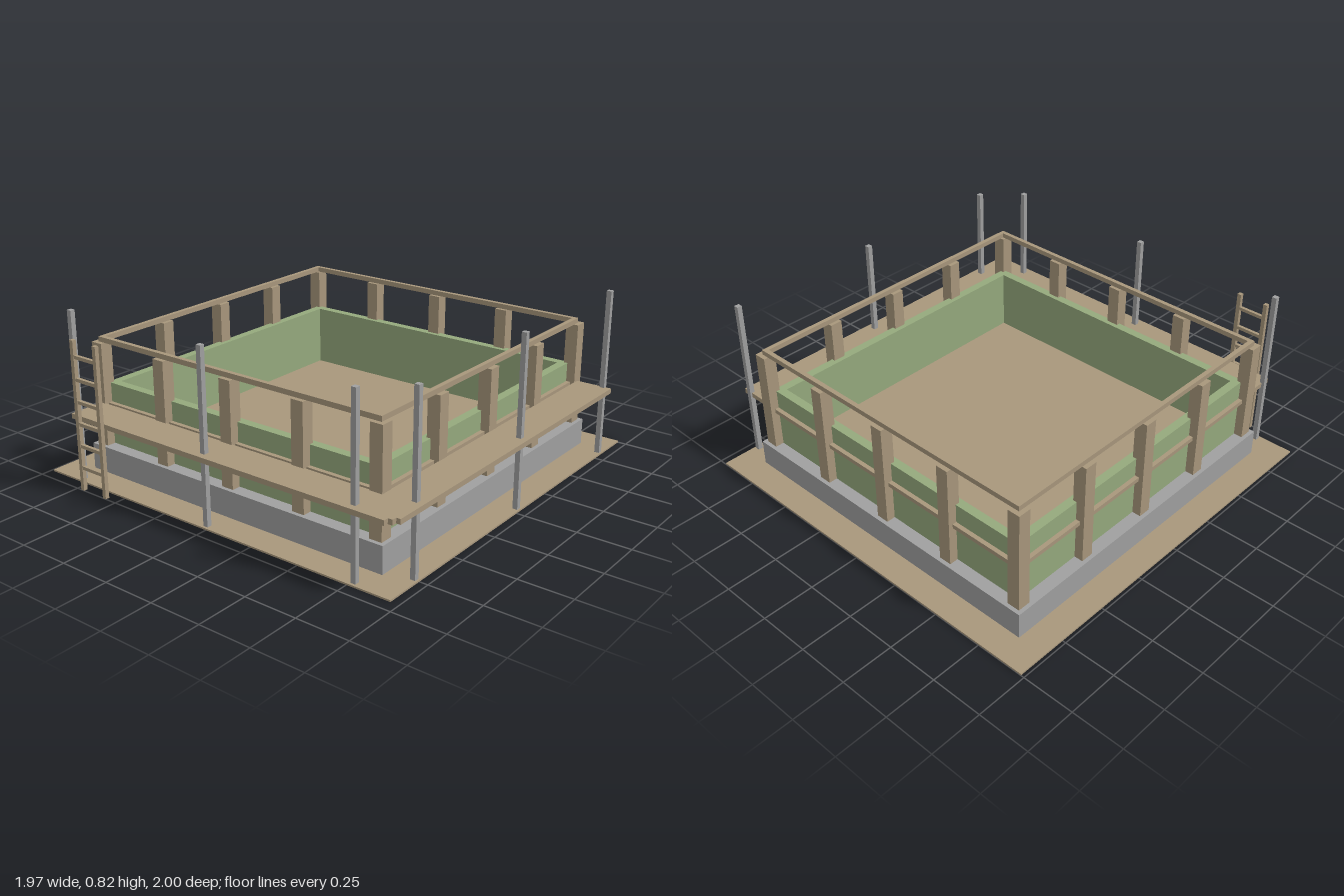
import * as THREE from 'three';

const material = (name, color) => {
  const m = new THREE.MeshStandardMaterial({ color });
  m.name = name;
  return m;
};

export function createModel() {
  const timber = material('timber tan', 0xa8977c);
  const green = material('panel green', 0x95a97d);
  const grey = material('concrete grey', 0xa0a0a0);

  const model = new THREE.Group();
  model.name = 'raisedEnclosure';

  const add = (parent, name, geometry, mat) => {
    const mesh = new THREE.Mesh(geometry, mat);
    mesh.name = name;
    parent.add(mesh);
    return mesh;
  };
  // Box given by its limits on each axis
  const box = (parent, name, mat, x0, x1, y0, y1, z0, z1) => {
    const mesh = add(parent, name, new THREE.BoxGeometry(x1 - x0, y1 - y0, z1 - z0), mat);
    mesh.position.set((x0 + x1) / 2, (y0 + y1) / 2, (z0 + z1) / 2);
    return mesh;
  };
  // Horizontal shape (x, -z) raised from y0 to y1
  const slab = (parent, name, mat, shape, y0, y1) => {
    const g = new THREE.ExtrudeGeometry(shape, { depth: y1 - y0, bevelEnabled: false });
    g.rotateX(-Math.PI / 2);
    g.translate(0, y0, 0);
    return add(parent, name, g, mat);
  };
  const square = (h) => [[-h, -h], [h, -h], [h, h], [-h, h]].map(([x, y]) => new THREE.Vector2(x, y));
  const frame = (parent, name, mat, outer, inner, y0, y1) => {
    const shape = new THREE.Shape(square(outer));
    shape.holes.push(new THREE.Path(square(inner)));
    return slab(parent, name, mat, shape, y0, y1);
  };

  // Square building, slightly off the origin because of the scaffold
  const building = new THREE.Group();
  building.name = 'building';
  building.position.set(-0.012, 0, -0.028);
  model.add(building);

  frame(building, 'groundPlate', timber, 0.972, 0.836, 0, 0.008);
  frame(building, 'foundation', grey, 0.836, 0.732, 0, 0.135);
  box(building, 'floor', timber, -0.732, 0.732, 0, 0.135, -0.732, 0.732);
  frame(building, 'wallPanels', green, 0.774, 0.732, 0.135, 0.435);
  frame(building, 'middleRail', timber, 0.795, 0.774, 0.322, 0.343);
  frame(building, 'topRail', timber, 0.795, 0.773, 0.632, 0.656);

  // Five posts along each side, sharing the corners
  const pitch = 0.393, half = 0.031;
  for (let i = -2; i <= 2; i++) {
    for (let j = -2; j <= 2; j++) {
      if (Math.max(Math.abs(i), Math.abs(j)) < 2) continue;
      const x = i * pitch, z = j * pitch;
      box(building, 'wallPost', timber, x - half, x + half, 0.135, 0.632, z - half, z + half);
    }
  }

  // L-shaped scaffold deck along the front and left sides
  const scaffold = new THREE.Group();
  scaffold.name = 'scaffold';
  model.add(scaffold);
  const outline = [
    [-0.795, 0.783], [-0.795, 0.963], [0.94, 0.963], [0.94, 0.94], [0.962, 0.94],
    [0.962, 0.917], [0.982, 0.917], [0.982, -0.817], [0.803, -0.817], [0.803, 0.783],
  ].map(([x, z]) => new THREE.Vector2(x, -z));
  slab(scaffold, 'deck', timber, new THREE.Shape(outline), 0.32, 0.344);

  const poles = [[-0.797, 0.92], [-0.012, 0.92], [0.773, 0.92], [0.94, 0.756], [0.94, -0.029], [0.94, -0.814]];
  for (const [x, z] of poles) {
    box(scaffold, 'scaffoldPole', grey, x - 0.012, x + 0.012, 0, 0.82, z - 0.012, z + 0.012);
  }

  // Ladder standing against the deck
  const ladder = new THREE.Group();
  ladder.name = 'ladder';
  model.add(ladder);
  for (const x of [-0.715, -0.57]) {
    box(ladder, 'ladderRail', timber, x - 0.01, x + 0.01, 0, 0.716, 0.98, 1);
  }
  for (let i = 0; i < 6; i++) {
    const y = 0.112 + i * 0.1055;
    box(ladder, 'ladderRung', timber, -0.705, -0.58, y - 0.008, y + 0.008, 0.982, 0.998);
  }

  return model;
}
